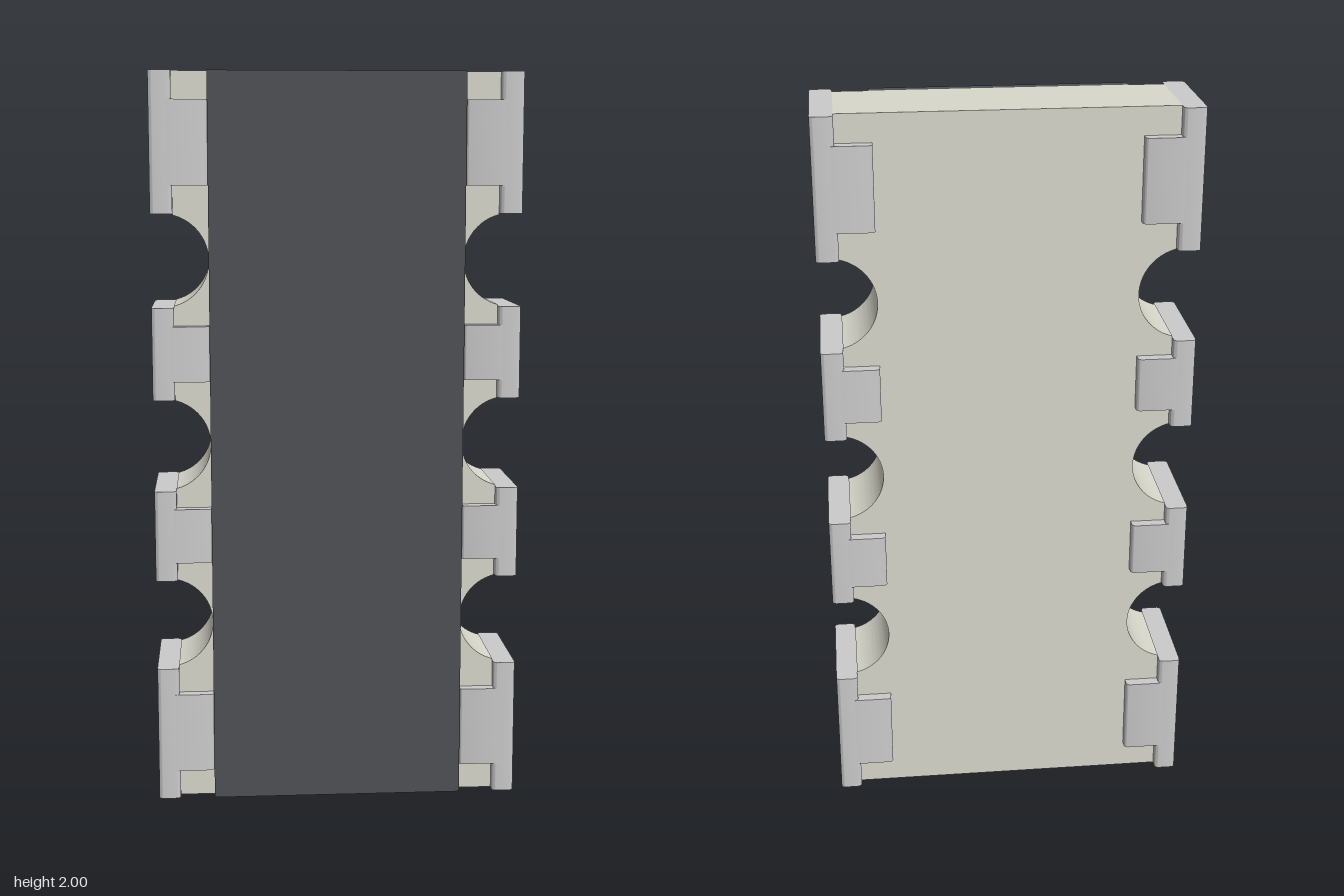
import * as THREE from 'three';
import { toCreasedNormals } from 'three/addons/utils/BufferGeometryUtils.js';

const HEIGHT = 2, BODY_X = 0.44, BODY_Z = 0.125, OUT_X = 0.5, OUT_Z = 0.155;
const INNER_X = 0.345, NOTCH_X = 0.47, NOTCH_R = 0.125, ROUND = 0.012;
const NOTCHES = [0.5, 1, 1.5];

const material = (color) => new THREE.MeshStandardMaterial({ color });

function addMesh(parent, name, geometry, mat) {
  const mesh = new THREE.Mesh(toCreasedNormals(geometry, 0.6), mat);
  mesh.name = name;
  parent.add(mesh);
  return mesh;
}

// Rectangle whose corners can be rounded separately: [x0y0, x1y0, x1y1, x0y1]
function roundedRect(x0, y0, x1, y1, [a, b, c, d]) {
  const s = new THREE.Shape();
  s.moveTo(x0 + a, y0);
  s.lineTo(x1 - b, y0);
  if (b) s.absarc(x1 - b, y0 + b, b, -Math.PI / 2, 0);
  s.lineTo(x1, y1 - c);
  if (c) s.absarc(x1 - c, y1 - c, c, 0, Math.PI / 2);
  s.lineTo(x0 + d, y1);
  if (d) s.absarc(x0 + d, y1 - d, d, Math.PI / 2, Math.PI);
  s.lineTo(x0, y0 + a);
  if (a) s.absarc(x0 + a, y0 + a, a, Math.PI, Math.PI * 1.5);
  return s;
}

// Extrudes an (x, -z) section upwards from y0 to y1
function prism(shape, y0, y1) {
  const g = new THREE.ExtrudeGeometry(shape, { depth: y1 - y0, bevelEnabled: false, curveSegments: 5 });
  return g.rotateX(-Math.PI / 2).translate(0, y0, 0);
}

// Slab with round bites along both long edges
function bodyGeometry() {
  const t = Math.acos((NOTCH_X - BODY_X) / NOTCH_R);
  const s = new THREE.Shape();
  s.moveTo(-BODY_X, 0);
  s.lineTo(BODY_X, 0);
  for (const y of NOTCHES) s.absarc(NOTCH_X, y, NOTCH_R, Math.PI + t, Math.PI - t, true);
  s.lineTo(BODY_X, HEIGHT);
  s.lineTo(-BODY_X, HEIGHT);
  for (const y of [...NOTCHES].reverse()) s.absarc(-NOTCH_X, y, NOTCH_R, t, -t, true);
  s.closePath();
  const g = new THREE.ExtrudeGeometry(s, { depth: 2 * BODY_Z, bevelEnabled: false, curveSegments: 32 });
  return g.translate(0, 0, -BODY_Z);
}

export function createModel() {
  const model = new THREE.Group();
  model.name = 'chipResistorArray';
  const ceramic = material(0xd9d8cc), metal = material(0xcccccc), dark = material(0x505155);

  addMesh(model, 'ceramicBody', bodyGeometry(), ceramic);

  // Dark protective layer on the front
  const coat = new THREE.BoxGeometry(2 * INNER_X, HEIGHT, OUT_Z - BODY_Z);
  addMesh(model, 'frontCoating', coat.translate(0, HEIGHT / 2, (OUT_Z + BODY_Z) / 2), dark);

  // Each terminal: [post bottom, post top, tab bottom, tab top]
  const terminals = [
    [0, 0.375, 0.08, 0.3],
    [0.625, 0.875, 0.675, 0.825],
    [1.125, 1.375, 1.175, 1.325],
    [1.625, 2, 1.7, 1.925],
  ];
  for (const side of [1, -1]) {
    terminals.forEach(([y0, y1, t0, t1], i) => {
      const terminal = new THREE.Group();
      terminal.name = `${side > 0 ? 'left' : 'right'}Terminal${i + 1}`;
      const post = roundedRect(BODY_X, -OUT_Z, OUT_X, OUT_Z, [ROUND, ROUND, ROUND, ROUND]);
      addMesh(terminal, 'post', prism(post, y0, y1), metal);
      // Tabs wrap onto the front and back faces
      const back = roundedRect(INNER_X, BODY_Z, BODY_X + 0.02, OUT_Z, [0, 0, 0, ROUND]);
      const front = roundedRect(INNER_X, -OUT_Z, BODY_X + 0.02, -BODY_Z, [ROUND, 0, 0, 0]);
      addMesh(terminal, 'backTab', prism(back, t0, t1), metal);
      addMesh(terminal, 'frontTab', prism(front, t0, t1), metal);
      // The section is symmetric in z, so a half turn mirrors the post; tabs swap faces
      if (side < 0) terminal.rotation.y = Math.PI;
      model.add(terminal);
    });
  }
  return model;
}
